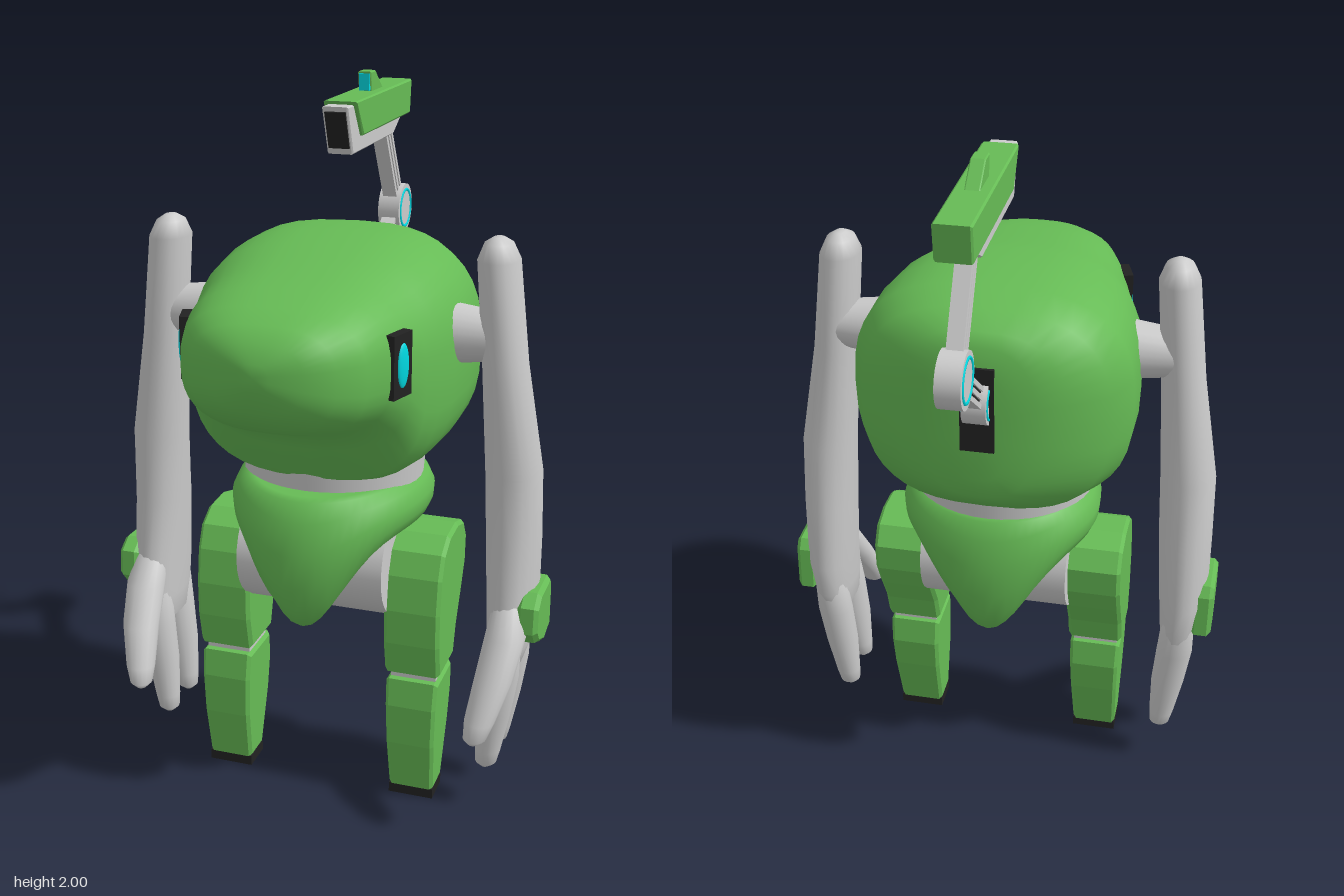
import * as THREE from 'three';

const mat = (color) => new THREE.MeshStandardMaterial({ color });
const GREEN = mat(0x66bb55), GREY = mat(0xcccccc), DARK = mat(0x222222), CYAN = mat(0x00d8e0);

function add(parent, name, geometry, material, x = 0, y = 0, z = 0) {
  const mesh = new THREE.Mesh(geometry, material);
  mesh.name = name;
  mesh.position.set(x, y, z);
  parent.add(mesh);
  return mesh;
}

// Closed smooth skin through rings of points, turned outward by its signed volume
function loft(rings) {
  const n = rings[0].length, pts = rings.flat(), index = [];
  for (let r = 0; r < rings.length - 1; r++) {
    for (let i = 0; i < n; i++) {
      const a = r * n + i, b = r * n + (i + 1) % n;
      index.push(a, b, a + n, b, b + n, a + n);
    }
  }
  const last = (rings.length - 1) * n;
  const middle = (ring) => ring.reduce((s, p) => s.add(p), new THREE.Vector3()).divideScalar(n);
  const c = pts.push(middle(rings[0]), middle(rings[rings.length - 1])) - 2;
  for (let i = 0; i < n; i++) {
    const j = (i + 1) % n;
    index.push(c, j, i, c + 1, last + i, last + j);
  }
  let volume = 0;
  for (let i = 0; i < index.length; i += 3) {
    volume += pts[index[i]].dot(pts[index[i + 1]].clone().cross(pts[index[i + 2]]));
  }
  if (volume < 0) index.reverse();
  const g = new THREE.BufferGeometry().setFromPoints(pts);
  g.setIndex(index);
  g.computeVertexNormals();
  return g;
}

function ring(n, fn) {
  return Array.from({ length: n }, (_, i) => fn((i / n) * Math.PI * 2));
}

// Horizontal elliptical slices: [y, x, z, radiusX, radiusZ]
function limb(slices, side) {
  return loft(slices.map(([y, x, z, rx, rz]) => ring(18, (t) =>
    new THREE.Vector3(side * (x + rx * Math.cos(t)), y, z + rz * Math.sin(t)))));
}

// Side outline of [z, y] points, extruded across x with a small bevel
function profile(points, width, bevel = 0.01) {
  const shape = new THREE.Shape(points.map(([z, y]) => new THREE.Vector2(z, y)));
  const g = new THREE.ExtrudeGeometry(shape, {
    depth: width - 2 * bevel, bevelSize: bevel, bevelThickness: bevel,
    bevelOffset: -bevel, bevelSegments: 1,
  });
  g.translate(0, 0, -(width - 2 * bevel) / 2);
  return g.rotateY(-Math.PI / 2);
}

const disc = (r, width) => new THREE.CylinderGeometry(r, r, width, 32).rotateZ(Math.PI / 2);

function createBody() {
  const body = new THREE.Group();
  body.name = 'body';
  // Slices from back to snout: [z, half width, top, bottom]
  const slices = [
    [-0.325, 0.08, 1.45, 1.14], [-0.312, 0.15, 1.52, 1.08], [-0.29, 0.22, 1.555, 1.05],
    [-0.23, 0.33, 1.59, 1.0], [-0.13, 0.378, 1.61, 0.97], [0, 0.38, 1.612, 0.965],
    [0.13, 0.367, 1.6, 0.965], [0.2, 0.348, 1.585, 0.97], [0.26, 0.328, 1.575, 0.995],
    [0.32, 0.305, 1.56, 1.1], [0.4, 0.28, 1.547, 1.17], [0.5, 0.245, 1.525, 1.2],
    [0.57, 0.19, 1.5, 1.24], [0.61, 0.12, 1.465, 1.29], [0.632, 0.04, 1.42, 1.35],
  ];
  const power = (v) => Math.sign(v) * Math.abs(v) ** (2 / 2.7);
  add(body, 'shell', loft(slices.map(([z, w, top, bottom]) => ring(40, (t) =>
    new THREE.Vector3(w * power(Math.cos(t)),
      (top + bottom) / 2 + (top - bottom) / 2 * power(Math.sin(t)), z)))), GREEN);
  // Eyes
  for (const s of [1, -1]) {
    const eye = new THREE.Group();
    eye.name = s > 0 ? 'leftEye' : 'rightEye';
    eye.position.set(s * 0.284, 1.37, 0.37);
    eye.rotation.y = -s * 0.3;
    add(eye, 'eyePanel', new THREE.BoxGeometry(0.026, 0.165, 0.08), DARK);
    add(eye, 'eyeLens', new THREE.SphereGeometry(1, 20, 14).scale(0.008, 0.058, 0.024), CYAN, s * 0.013);
    body.add(eye);
  }
  add(body, 'backSlot', new THREE.BoxGeometry(0.09, 0.24, 0.03), DARK, 0, 1.35, -0.315);
  // Waist
  add(body, 'waist', new THREE.CylinderGeometry(0.26, 0.25, 0.12, 40).scale(1, 1, 0.95), GREY, 0, 0.96, 0.02);
  return body;
}

function createPelvis() {
  const pelvis = new THREE.Group();
  pelvis.name = 'pelvis';
  // Saddle: the lower edge hangs down at front and back; [radius factor, drop]
  const steps = [[0.8, 0], [0.86, 0.02], [0.94, 0.15], [1, 0.38], [0.99, 0.62], [0.94, 0.82],
    [0.84, 0.96], [0.77, 1], [0.73, 0.92], [0.74, 0.3]];
  add(pelvis, 'saddle', loft(steps.map(([f, drop]) => ring(56, (t) => {
    const c = Math.cos(t), low = 0.8 - 0.235 * Math.abs(c) ** 5;
    return new THREE.Vector3(0.28 * f * Math.sin(t), 0.955 + (low - 0.955) * drop,
      (c > 0 ? 0.38 : 0.27) * f * c);
  }))), GREEN);
  // Hip barrel between the legs
  add(pelvis, 'hipBarrel', new THREE.CylinderGeometry(0.17, 0.17, 0.42, 32)
    .rotateZ(Math.PI / 2).scale(1, 1, 1.2), GREY, 0, 0.715, 0.05);
  return pelvis;
}

function createLeg(s) {
  const leg = new THREE.Group();
  leg.name = s > 0 ? 'leftLeg' : 'rightLeg';
  leg.position.x = s * 0.28;
  add(leg, 'thigh', profile([[-0.1, 0.65], [-0.105, 0.73], [-0.07, 0.785], [0, 0.805], [0.09, 0.8],
    [0.15, 0.765], [0.18, 0.7], [0.195, 0.6], [0.195, 0.5], [0.175, 0.4], [0.015, 0.4],
    [-0.01, 0.48], [-0.06, 0.57]], 0.16), GREEN);
  add(leg, 'knee', new THREE.BoxGeometry(0.13, 0.06, 0.13), GREY, 0, 0.39, 0.095);
  const shin = add(leg, 'shin', profile([[0.18, 0.38], [0.015, 0.38], [0.005, 0.3], [0.02, 0.2],
    [0.07, 0.025], [0.165, 0.025], [0.19, 0.18], [0.192, 0.3]], 0.15), GREEN);
  // Shin narrows towards the foot
  const p = shin.geometry.attributes.position;
  for (let i = 0; i < p.count; i++) p.setX(i, p.getX(i) * (0.86 + 0.37 * p.getY(i)));
  add(leg, 'foot', new THREE.BoxGeometry(0.13, 0.03, 0.095), DARK, 0, 0.015, 0.118);
  return leg;
}

function createArm(s) {
  const arm = new THREE.Group();
  arm.name = s > 0 ? 'leftArm' : 'rightArm';
  add(arm, 'shoulder', new THREE.CylinderGeometry(0.065, 0.085, 0.16, 24).rotateZ(-s * Math.PI / 2),
    GREY, s * 0.39, 1.37, 0.05);
  add(arm, 'armShaft', limb([
    [1.637, 0.458, 0.06, 0.015, 0.02], [1.622, 0.458, 0.06, 0.038, 0.05], [1.58, 0.46, 0.06, 0.056, 0.075],
    [1.3, 0.487, 0.057, 0.061, 0.078], [1, 0.52, 0.045, 0.078, 0.088], [0.8, 0.526, 0.035, 0.076, 0.102],
    [0.6, 0.532, 0.04, 0.07, 0.125], [0.5, 0.528, 0.05, 0.06, 0.125], [0.43, 0.52, 0.055, 0.045, 0.11],
    [0.41, 0.515, 0.055, 0.02, 0.08],
  ], s), GREY);
  // Fingers and thumb
  for (const [name, z] of [['frontFinger', 0.125], ['rearFinger', -0.015]]) {
    add(arm, name, limb([[0.55, 0.53, z - 0.01, 0.045, 0.045], [0.42, 0.522, z, 0.052, 0.05],
      [0.3, 0.508, z + 0.003, 0.048, 0.047], [0.18, 0.496, z + 0.006, 0.036, 0.037],
      [0.14, 0.492, z + 0.008, 0.03, 0.031], [0.125, 0.49, z + 0.008, 0.012, 0.014]], s), GREY);
  }
  add(arm, 'thumb', limb([[0.66, 0.535, 0.09, 0.04, 0.05], [0.56, 0.538, 0.155, 0.056, 0.06],
    [0.46, 0.525, 0.23, 0.053, 0.052], [0.36, 0.503, 0.29, 0.042, 0.042],
    [0.315, 0.495, 0.308, 0.032, 0.033], [0.3, 0.492, 0.312, 0.014, 0.016]], s), GREY);
  // Hand guard
  add(arm, 'handGuard', profile([[0.155, 0.645], [0.11, 0.675], [-0.025, 0.67], [-0.045, 0.64],
    [-0.05, 0.51], [0.04, 0.495], [0.125, 0.53], [0.16, 0.57]], 0.06, 0.012), GREEN, s * 0.594);
  return arm;
}

function createScope() {
  const scope = new THREE.Group();
  scope.name = 'scopeArm';
  const base = [1.37, -0.31], elbow = [1.565, -0.56], top = [1.83, -0.405];
  // Struts with dark grooves
  for (const [a, b] of [[base, elbow], [elbow, top]]) {
    const dy = b[0] - a[0], dz = b[1] - a[1], len = Math.hypot(dy, dz);
    const strut = new THREE.Group();
    strut.name = 'strut';
    strut.position.set(0, (a[0] + b[0]) / 2, (a[1] + b[1]) / 2);
    strut.rotation.x = Math.atan2(dz, dy);
    add(strut, 'strutCore', new THREE.BoxGeometry(0.032, len, 0.04), DARK);
    for (const z of [-0.022, 0, 0.022]) {
      add(strut, 'strutRail', new THREE.BoxGeometry(0.042, len, 0.013), GREY, 0, 0, z);
    }
    scope.add(strut);
  }
  // Joints with glowing rings
  for (const [[y, z], r] of [[base, 0.06], [elbow, 0.072]]) {
    add(scope, 'joint', disc(r, 0.064), GREY, 0, y, z);
    for (const s of [1, -1]) {
      add(scope, 'jointRing', new THREE.TorusGeometry(r * 0.76, 0.005, 6, 32).rotateY(Math.PI / 2),
        CYAN, s * 0.031, y, z);
    }
  }
  // Head
  add(scope, 'scopeHousing', profile([[0.018, 1.938], [-0.03, 1.808], [-0.41, 1.808],
    [-0.49, 1.85], [-0.5, 1.938]], 0.072, 0.004), GREY);
  const lens = add(scope, 'scopeOpening', new THREE.BoxGeometry(0.058, 0.105, 0.012), DARK, 0, 1.876, -0.006);
  lens.rotation.x = 0.35;
  add(scope, 'scopeCover', profile([[-0.025, 1.947], [-0.558, 1.947], [-0.545, 1.85],
    [-0.09, 1.85]], 0.094, 0.005), GREEN);
  add(scope, 'sightFin', profile([[-0.24, 2], [-0.285, 2], [-0.36, 1.94], [-0.25, 1.94]], 0.038, 0.003), GREEN);
  add(scope, 'sightLamp', new THREE.BoxGeometry(0.03, 0.046, 0.012), CYAN, 0, 1.972, -0.243);
  return scope;
}

export function createModel() {
  const model = new THREE.Group();
  model.name = 'robot';
  model.add(createBody(), createPelvis(), createScope());
  for (const s of [1, -1]) model.add(createLeg(s), createArm(s));
  return model;
}
